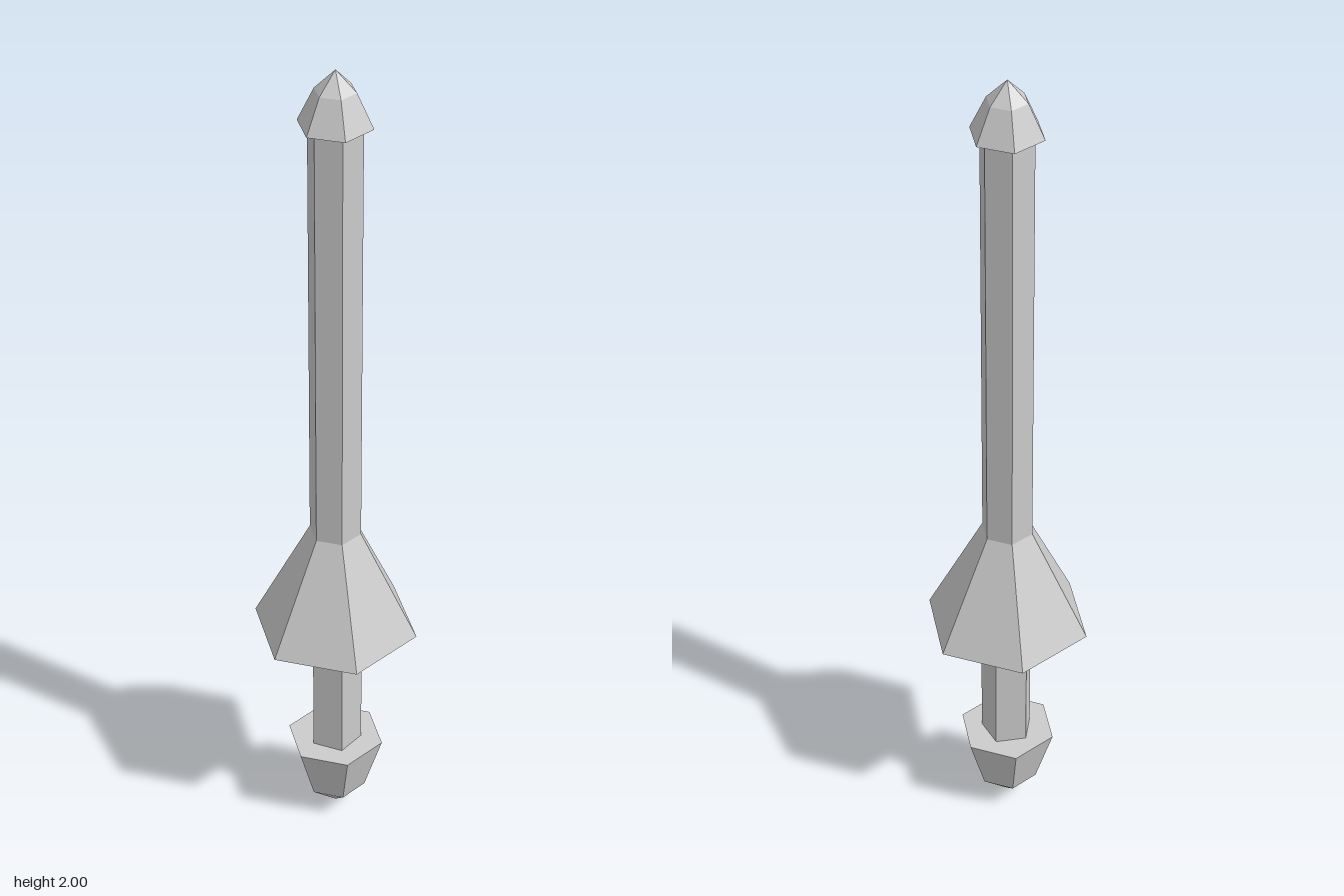
import * as THREE from 'three';

const material = new THREE.MeshStandardMaterial({ color: 0xcccccc, flatShading: true });

// Faceted turned part: profile of [radius, y] from bottom to top, a corner facing +z
function turned(name, profile, sides = 6) {
  const points = profile.map(([r, y]) => new THREE.Vector2(r, y));
  const mesh = new THREE.Mesh(new THREE.LatheGeometry(points, sides), material);
  mesh.name = name;
  return mesh;
}

export function createModel() {
  const group = new THREE.Group();
  group.name = 'spike';

  group.add(
    // Pointed pommel with a flat top
    turned('pommel', [[0, 0], [0.074, 0.07], [0.117, 0.213], [0, 0.213]]),
    // Five-sided grip
    turned('grip', [[0, 0.2], [0.0625, 0.2], [0.0625, 0.62], [0, 0.62]], 5),
    // Flared guard with a shallow recess underneath
    turned('guard', [[0, 0.585], [0.18, 0.585], [0.197, 0.562], [0.061, 0.835]]),
    // Long six-sided shaft
    turned('shaft', [[0.061, 0.835], [0.061, 1.89]]),
    // Pointed cap, slightly hollow underneath
    turned('cap', [[0, 1.886], [0.076, 1.886], [0.083, 1.875], [0.046, 1.953], [0, 2]])
  );
  return group;
}
